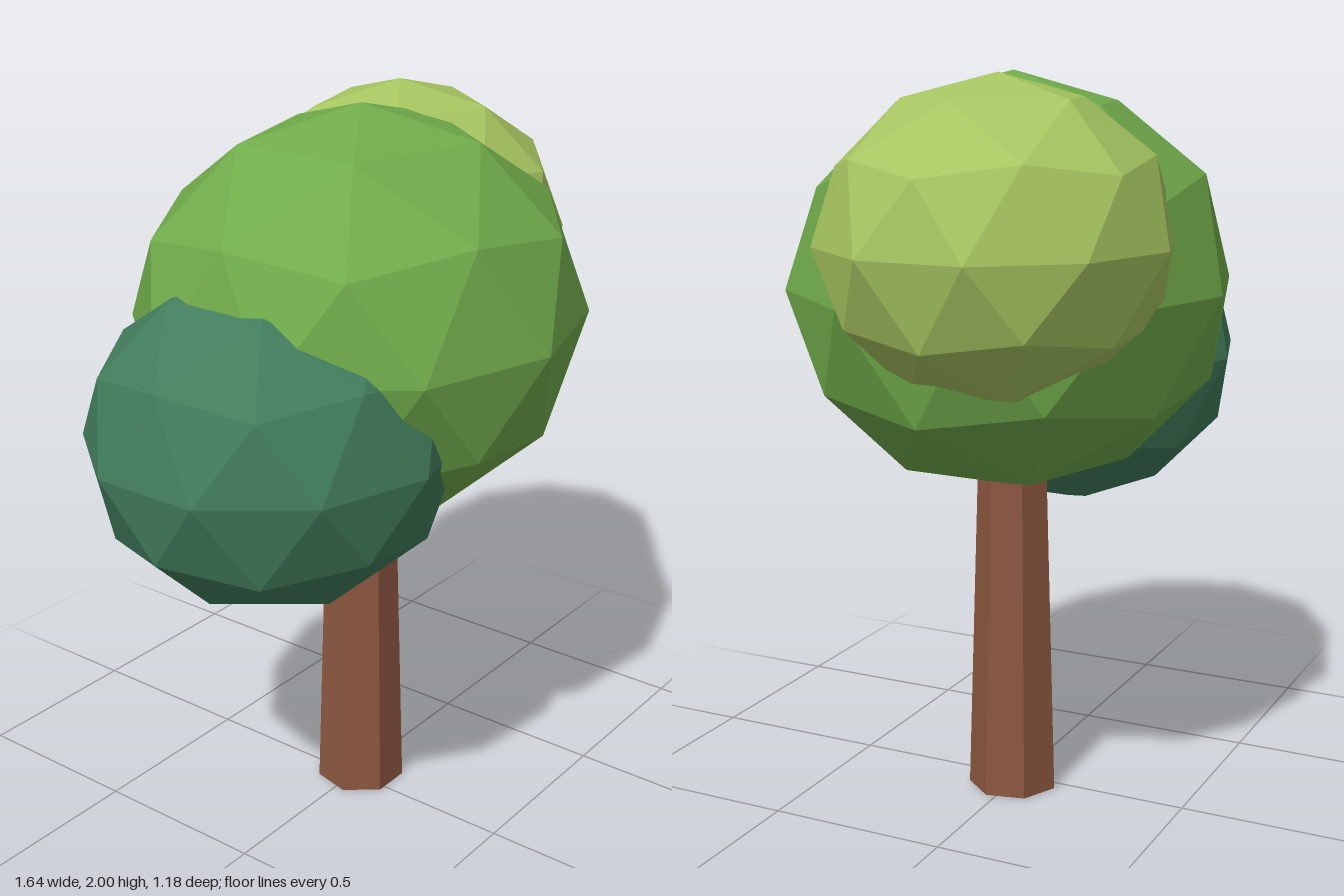
import * as THREE from 'three';

const paint = (name, color) => {
  const m = new THREE.MeshStandardMaterial({ color });
  m.name = name;
  return m;
};

// Faceted leaf clump: icosphere standing on a vertex, stretched per axis
function leafClump(name, material, radii, position) {
  const geo = new THREE.IcosahedronGeometry(1, 1);
  geo.rotateZ(-Math.atan(2 / (1 + Math.sqrt(5)))); // bring a corner to the pole
  geo.scale(...radii);
  geo.computeVertexNormals(); // unshared corners, so facets stay flat
  const mesh = new THREE.Mesh(geo, material);
  mesh.name = name;
  mesh.position.set(...position);
  return mesh;
}

export function createModel() {
  const tree = new THREE.Group();
  tree.name = 'tree';

  // Seven-sided tapering trunk, its top hidden in the crown
  const height = 1.1;
  const trunkGeo = new THREE.CylinderGeometry(0.094, 0.127, height, 7, 1, false, Math.PI).toNonIndexed();
  trunkGeo.computeVertexNormals();
  const trunk = new THREE.Mesh(trunkGeo, paint('bark brown', 0x8b573f));
  trunk.name = 'trunk';
  trunk.position.set(0.035, height / 2, 0);
  tree.add(trunk);

  // Three overlapping clumps of foliage
  tree.add(
    leafClump('mainCrown', paint('leaf green', 0x71ac4b), [0.65, 0.56, 0.59], [0.035, 1.44, 0]),
    leafClump('lowerCrown', paint('deep teal green', 0x427d5c), [0.51, 0.45, 0.483], [-0.335, 1.21, 0]),
    leafClump('upperCrown', paint('light yellow green', 0xa7c661), [0.485, 0.413, 0.452], [0.36, 1.587, -0.115]),
  );

  return tree;
}
